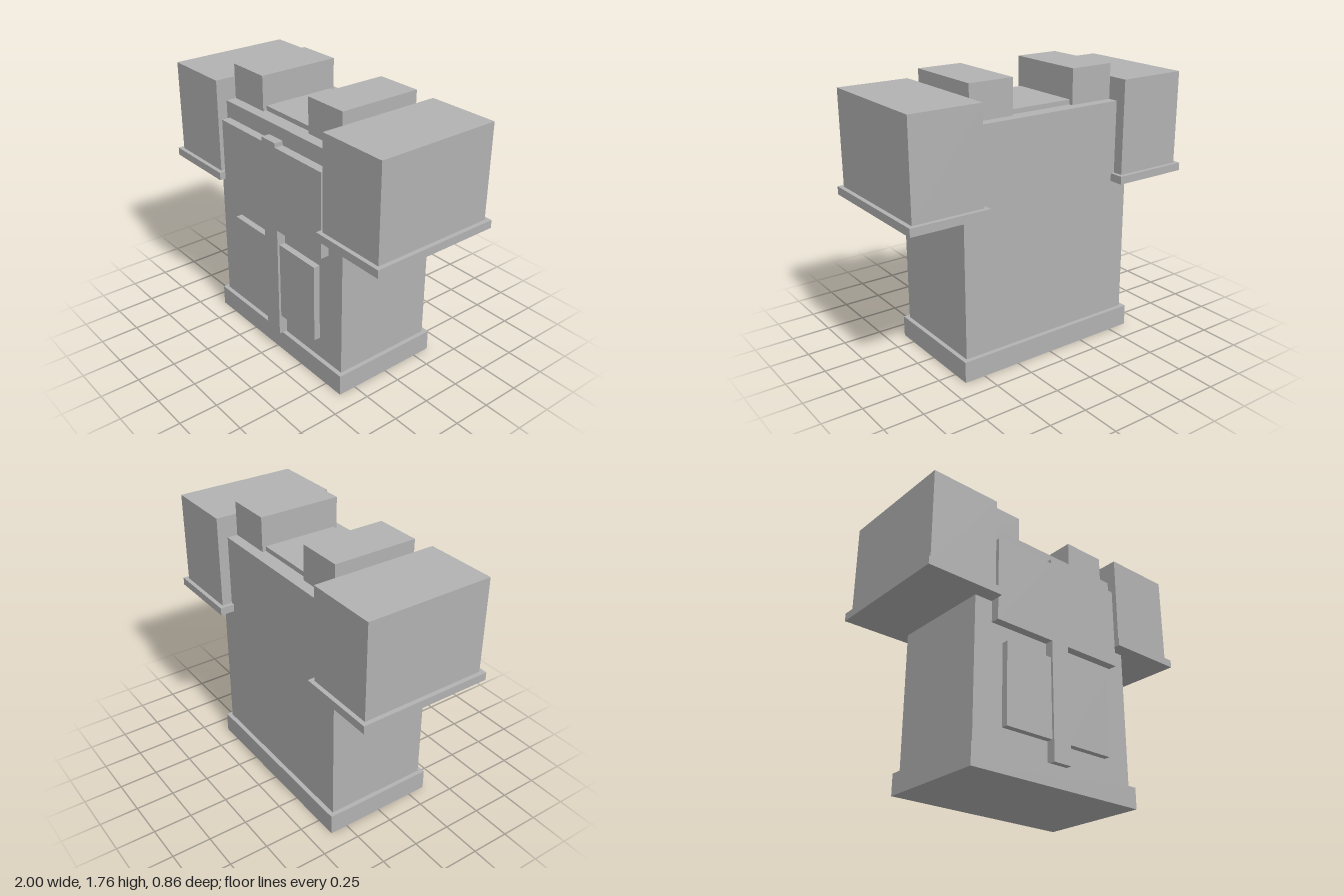
import * as THREE from 'three';

const grey = new THREE.MeshStandardMaterial({ color: 0xb2b2b2 });
grey.name = 'plainGrey';

// Box given by its lower and upper corners
function block(name, [x0, y0, z0], [x1, y1, z1]) {
  const geo = new THREE.BoxGeometry(x1 - x0, y1 - y0, z1 - z0);
  geo.translate((x0 + x1) / 2, (y0 + y1) / 2, (z0 + z1) / 2);
  const mesh = new THREE.Mesh(geo, grey);
  mesh.name = name;
  return mesh;
}

// Raised chest panel, placket and top tab in one outline
function frontPanel() {
  const half = [[0.065, 0.14], [0.065, 0.895], [0.485, 0.895], [0.485, 1.435], [0.065, 1.435], [0.065, 1.462]];
  const outline = [...half, ...half.map(([x, y]) => [-x, y]).reverse()];
  const shape = new THREE.Shape(outline.map(([x, y]) => new THREE.Vector2(x, y)));
  const geo = new THREE.ExtrudeGeometry(shape, { depth: 0.075, bevelEnabled: false });
  geo.translate(0, 0, 0.32);
  const mesh = new THREE.Mesh(geo, grey);
  mesh.name = 'frontPanel';
  return mesh;
}

export function createModel() {
  const model = new THREE.Group();
  model.name = 'jacket';

  // Torso, hem and neck
  model.add(
    block('torso', [-0.607, 0.135, -0.338], [0.607, 1.54, 0.338]),
    block('hem', [-0.635, 0, -0.367], [0.635, 0.135, 0.367]),
    block('neck', [-0.218, 1.5, -0.245], [0.218, 1.57, 0.245]),
    frontPanel(),
  );

  // Paired parts, mirrored across x
  const pairs = [
    ['Sleeve', 0.513, 1.08, 0.972, 1.68, 0.405],
    ['Cuff', 0.488, 1.032, 1.0, 1.083, 0.432],
    ['Collar', 0.218, 1.53, 0.513, 1.76, 0.27],
  ];
  for (const [side, s] of [['left', 1], ['right', -1]]) {
    const span = (a, b) => [Math.min(s * a, s * b), Math.max(s * a, s * b)];
    for (const [part, a, y0, b, y1, z] of pairs) {
      const [x0, x1] = span(a, b);
      model.add(block(side + part, [x0, y0, -z], [x1, y1, z]));
    }
    const [x0, x1] = span(0.06, 0.403);
    model.add(block(side + 'Pocket', [x0, 0.275, 0.32], [x1, 0.79, 0.38]));
  }
  return model;
}
